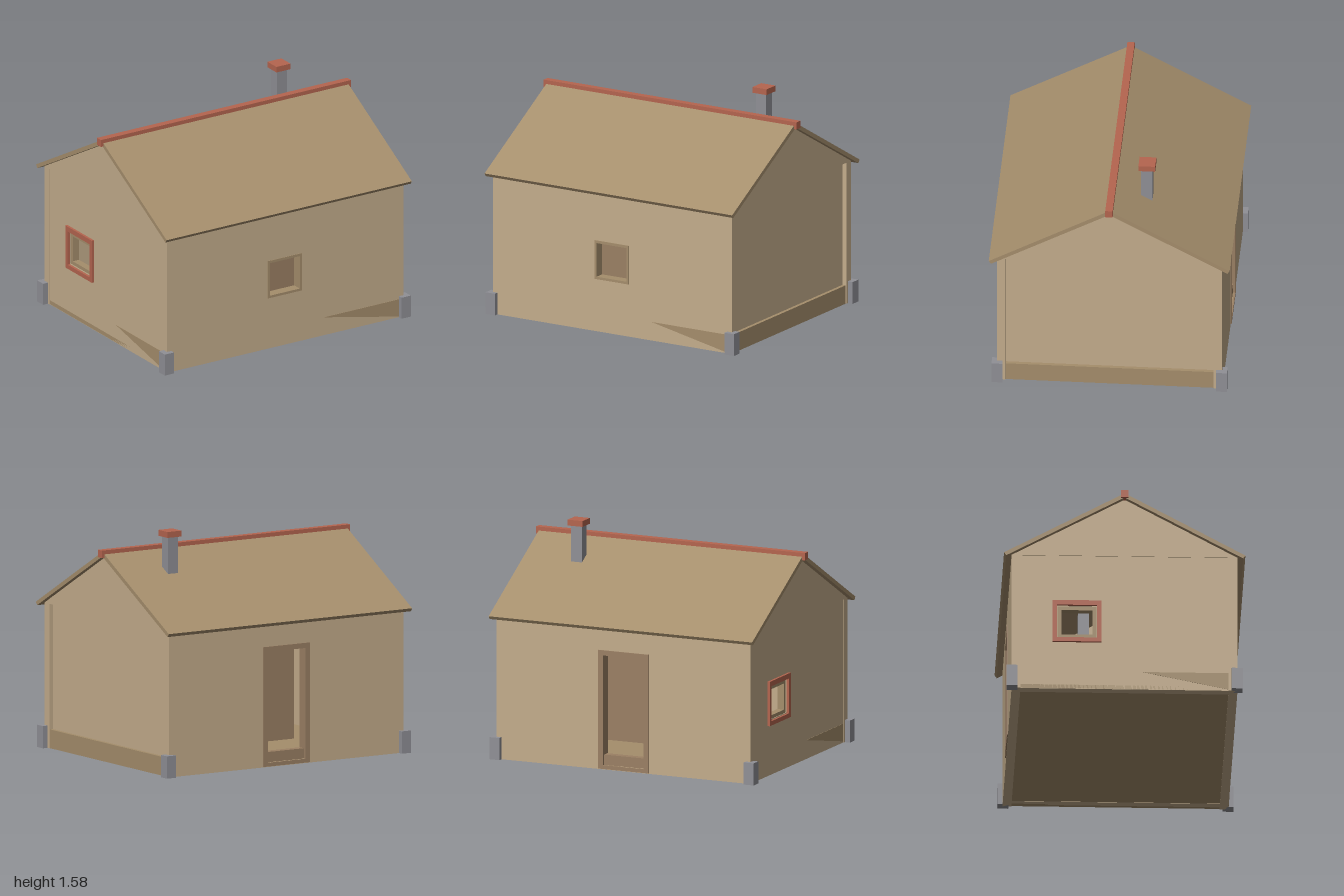
import * as THREE from 'three';

const mat = (color) => new THREE.MeshStandardMaterial({ color });
const MAT = {
  wall: mat(0xc4ad8c), wood: mat(0xa58e6c), trim: mat(0x9b8064),
  red: mat(0xb5654f), stone: mat(0x909096),
};

export function createModel() {
  const house = new THREE.Group();
  house.name = 'cottage';

  const add = (name, geometry, material) => {
    const mesh = new THREE.Mesh(geometry, material);
    mesh.name = name;
    house.add(mesh);
    return mesh;
  };

  // Box given by its lower and upper limits on each axis
  const box = (name, material, x0, x1, y0, y1, z0, z1) => {
    const g = new THREE.BoxGeometry(x1 - x0, y1 - y0, z1 - z0);
    g.translate((x0 + x1) / 2, (y0 + y1) / 2, (z0 + z1) / 2);
    return add(name, g, material);
  };

  const rectangle = (Type, x0, x1, y0, y1) => new Type([
    [x0, y0], [x1, y0], [x1, y1], [x0, y1],
  ].map(([x, y]) => new THREE.Vector2(x, y)));

  // Flat panel with a rectangular opening, extruded along z from z = 0
  const panel = (outer, hole, depth) => {
    const shape = rectangle(THREE.Shape, ...outer);
    shape.holes.push(rectangle(THREE.Path, ...hole));
    return new THREE.ExtrudeGeometry(shape, { depth, bevelEnabled: false });
  };

  // Outline in the cross-section plane, extruded along x from x0 to x1
  const prism = (points, x0, x1) => {
    const shape = new THREE.Shape(points.map(([a, y]) => new THREE.Vector2(a, y)));
    return new THREE.ExtrudeGeometry(shape, { depth: x1 - x0, bevelEnabled: false })
      .rotateY(Math.PI / 2).translate(x0, 0, 0);
  };

  // Long walls with the window in front and the doorway behind
  add('frontWall', panel([-0.945, 0.945, 0, 0.985], [-0.125, 0.118, 0.378, 0.62], 0.06)
    .translate(0, 0, 0.7), MAT.wall);
  add('backWall', panel([-0.945, 0.945, 0, 0.985], [-0.16, 0.16, 0.03, 0.79], 0.06)
    .translate(0, 0, -0.76), MAT.wall);

  // Side walls: one solid and set back, one with a window
  box('leftWall', MAT.wall, 0.86, 0.915, 0, 0.985, -0.7, 0.7);
  add('rightWall', panel([-0.7, 0.7, 0, 0.985], [0.19, 0.45, 0.38, 0.61], 0.06)
    .rotateY(Math.PI / 2).translate(-0.94, 0, 0), MAT.wall);

  // Plinth, showing along the sides and as a wedge at the front corner
  box('leftPlinth', MAT.wood, 0.9, 0.94, 0, 0.128, -0.7, 0.7);
  const wedge = () => new THREE.ExtrudeGeometry(new THREE.Shape([
    new THREE.Vector2(0.31, 0.13), new THREE.Vector2(0.91, 0.005), new THREE.Vector2(0.91, 0.13),
  ]), { depth: 0.004, bevelEnabled: false });
  add('frontPlinth', wedge().translate(0, 0, 0.758), MAT.wood);
  add('rightPlinth', wedge().rotateY(-Math.PI / 2).translate(-0.938, 0, -0.19), MAT.wood);

  // Floor and inner partition
  box('floor', MAT.wood, -0.94, 0.94, 0.002, 0.03, -0.755, 0.755);
  box('partition', MAT.trim, -0.55, 0.6, 0.03, 0.985, -0.02, 0.02);

  // Gables, roof and ridge cap
  for (const [x0, x1] of [[-0.945, -0.885], [0.885, 0.945]]) {
    add('gable', prism([[-0.76, 0.985], [0.76, 0.985], [0, 1.408]], x0, x1), MAT.wall);
  }
  add('roof', prism([
    [0, 1.437], [-0.812, 0.987], [-0.797, 0.965], [0, 1.405], [0.797, 0.965], [0.812, 0.987],
  ], -0.98, 0.98), MAT.wood);
  box('ridgeCap', MAT.red, -1, 1, 1.4, 1.45, -0.025, 0.025);

  // Chimney continuing down to a hearth
  box('chimney', MAT.stone, 0.545, 0.625, 0.35, 1.54, -0.265, -0.19);
  box('chimneyCap', MAT.red, 0.53, 0.642, 1.54, 1.58, -0.285, -0.172);
  box('hearth', MAT.stone, 0.48, 0.69, 0.03, 0.35, -0.33, -0.12);

  // Corner stones
  for (const sx of [-1, 1]) for (const sz of [-1, 1]) {
    const stone = box('cornerStone', MAT.stone, -0.037, 0.037, 0, 0.152, -0.037, 0.037);
    stone.position.set(sx * 0.946, 0, sz * 0.757);
  }

  // Window and door frames
  add('frontWindowFrame', panel([-0.14, 0.132, 0.365, 0.635], [-0.122, 0.115, 0.382, 0.617], 0.07)
    .translate(0, 0, 0.694), MAT.wood);
  add('sideWindowFrame', panel([0.155, 0.485, 0.345, 0.65], [0.185, 0.455, 0.375, 0.615], 0.03)
    .rotateY(Math.PI / 2).translate(-0.957, 0, 0), MAT.red);
  add('sideWindowCasing', panel([0.183, 0.457, 0.37, 0.62], [0.215, 0.425, 0.405, 0.585], 0.05)
    .rotateY(Math.PI / 2).translate(-0.935, 0, 0), MAT.wood);
  add('doorFrame', panel([-0.187, 0.187, 0.004, 0.82], [-0.15, 0.15, 0.03, 0.785], 0.075)
    .translate(0, 0, -0.767), MAT.trim);
  box('doorSill', MAT.trim, -0.15, 0.15, 0.02, 0.1, -0.75, -0.7);

  return house;
}
